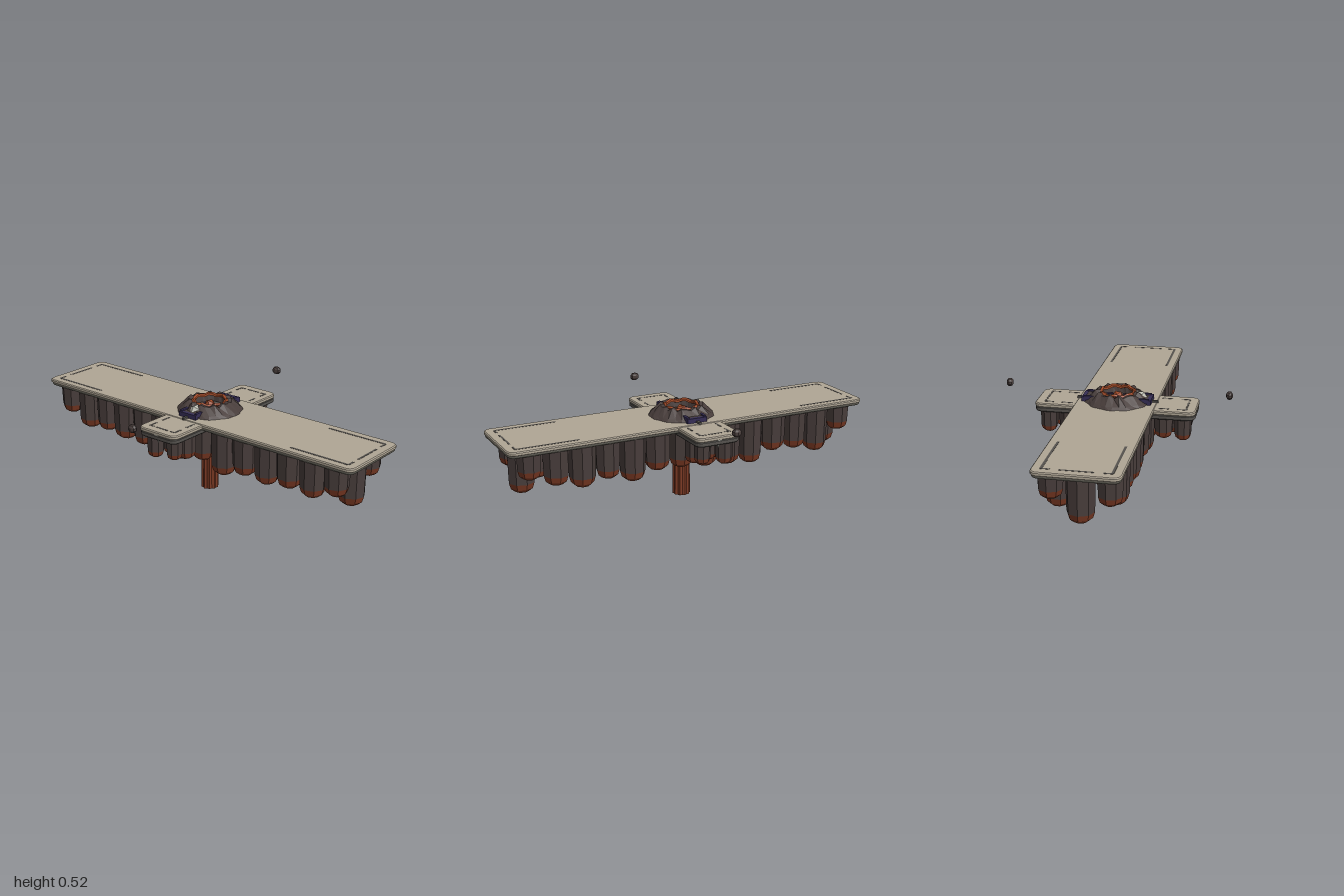
import * as THREE from 'three';

const mat = (name, color, side = THREE.FrontSide) =>
  Object.assign(new THREE.MeshStandardMaterial({ color, side, flatShading: true }), { name });

export function createModel() {
  const root = new THREE.Group();
  root.name = 'floatingPlatform';
  const stone = mat('paleStone', 0xb0a695);
  const edge = mat('edgeStone', 0x8a877a);
  const rock = mat('darkRock', 0x483d3b, THREE.DoubleSide);
  const rust = mat('rustRock', 0x7c3a24);
  const groove = mat('grooveDark', 0x55524e);
  const indigo = mat('indigoMetal', 0x352d54);
  const ember = mat('emberOrange', 0xa04a28);
  const pale = mat('paleCrystal', 0xbcbcb2);

  const add = (name, geo, material, x = 0, y = 0, z = 0, parent = root) => {
    const m = new THREE.Mesh(geo, material);
    m.name = name;
    m.position.set(x, y, z);
    parent.add(m);
    return m;
  };
  const box = (name, w, h, d, material, x, y, z) =>
    add(name, new THREE.BoxGeometry(w, h, d), material, x, y, z);

  // Horizontal rounded slab from y0 to y1 with bevelled rims
  const slab = (name, hx, hz, y0, y1, material) => {
    const b = 0.005, r = 0.038, w = hx - b, d = hz - b, s = new THREE.Shape();
    s.moveTo(-w + r, -d);
    s.lineTo(w - r, -d); s.quadraticCurveTo(w, -d, w, -d + r);
    s.lineTo(w, d - r); s.quadraticCurveTo(w, d, w - r, d);
    s.lineTo(-w + r, d); s.quadraticCurveTo(-w, d, -w, d - r);
    s.lineTo(-w, -d + r); s.quadraticCurveTo(-w, -d, -w + r, -d);
    const g = new THREE.ExtrudeGeometry(s, {
      depth: y1 - y0 - 2 * b, bevelThickness: b, bevelSize: b, bevelSegments: 1, curveSegments: 5,
    });
    g.rotateX(-Math.PI / 2);
    add(name, g, material, 0, y0 + b, 0);
  };

  // Cross-shaped deck: pale top layer over a darker rim layer
  slab('longDeck', 0.207, 1, 0.416, 0.437, stone);
  slab('longDeckRim', 0.203, 0.996, 0.404, 0.418, edge);
  slab('crossDeck', 0.416, 0.122, 0.412, 0.434, stone);
  slab('crossDeckRim', 0.414, 0.12, 0.388, 0.414, groove);

  // Engraved border lines on the deck
  for (const s of [-1, 1]) {
    box('endGroove', 0.16, 0.004, 0.01, groove, 0, 0.436, s * 0.952);
    for (const t of [-1, 1]) {
      box('sideGroove', 0.012, 0.004, 0.32, groove, t * 0.161, 0.436, s * 0.79);
      box('cornerGroove', 0.045, 0.004, 0.01, groove, t * 0.142, 0.436, s * 0.952);
      box('armGroove', 0.055, 0.004, 0.01, groove, s * 0.25, 0.433, t * 0.08);
      box('armGroove', 0.05, 0.004, 0.01, groove, s * 0.345, 0.433, t * 0.08);
      box('armCornerGroove', 0.01, 0.004, 0.03, groove, s * 0.366, 0.433, t * 0.067);
    }
    box('armEndGroove', 0.01, 0.004, 0.075, groove, s * 0.366, 0.433, 0);
  }

  // Hanging rock columns, each with a rust-coloured rounded tip
  let count = 0;
  const column = (x, z, bottom, r) => {
    const g = new THREE.Group();
    g.name = 'rockColumn';
    g.position.set(x, 0, z);
    g.rotation.y = count++ * 0.7;
    root.add(g);
    const cap = bottom + r * 0.75, top = 0.406;
    add('columnBody', new THREE.CylinderGeometry(r, r * 0.95, top - cap, 8), rock, 0, (top + cap) / 2, 0, g);
    const profile = [[0, 0], [0.5, 0.06], [0.82, 0.32], [0.95, 0.75]]
      .map(([a, h]) => new THREE.Vector2(a * r, bottom + h * r));
    add('columnTip', new THREE.LatheGeometry(profile, 8), rust, 0, 0, 0, g);
  };
  const rightRow = [0.22, 0.188, 0.21, 0.175, 0.21, 0.205, 0.19, 0.18, 0.165, 0.212, 0.205, 0.17];
  const leftRow = [0.21, 0.22, 0.2, 0.21, 0.175, 0.22, 0.19, 0.21, 0.2, 0.2, 0.215, 0.2];
  for (let i = 0; i < 12; i++) {
    const z = 0.745 - i * 0.135;
    const r = 0.067 + 0.003 * Math.sin(i * 2.3);
    column(0.134, z, rightRow[i], r);
    column(-0.134, z, leftRow[i], r);
    // Shorter filler rocks between the rows, clear of the stem
    const f = z + 0.067;
    if (Math.abs(f) > 0.1) {
      column(0.068, f, 0.25 + 0.02 * Math.sin(i * 1.9), 0.048);
      column(-0.068, f, 0.25 + 0.02 * Math.cos(i * 2.7), 0.048);
    }
  }
  for (const s of [-1, 1]) {
    column(0, s * 0.877, 0.16, 0.07);
    column(0.137, s * 0.88, 0.27, 0.063);
    column(-0.137, s * 0.88, 0.255, 0.063);
    // Shorter rocks under the cross arms
    column(s * 0.25, 0.055, 0.258, 0.05);
    column(s * 0.25, -0.055, 0.272, 0.05);
    column(s * 0.345, 0.06, 0.282, 0.043);
    column(s * 0.35, -0.06, 0.268, 0.045);
    column(s * 0.3, 0, 0.285, 0.042);
    // Small pointed crystal under each arm tip
    add('armCrystal', new THREE.ConeGeometry(0.024, 0.05, 6).rotateX(Math.PI), pale, s * 0.395, 0.392, 0);
  }
  box('keel', 0.06, 0.1, 1.74, rock, 0, 0.356, 0);

  // Ribbed central stem
  const stem = new THREE.CylinderGeometry(0.042, 0.047, 0.44, 20, 1);
  const sp = stem.attributes.position;
  for (let i = 0; i < sp.count; i++) {
    const a = Math.atan2(sp.getZ(i), sp.getX(i));
    const k = Math.round(a / (Math.PI / 10)) % 2 ? 0.84 : 1;
    sp.setXYZ(i, sp.getX(i) * k, sp.getY(i), sp.getZ(i) * k);
  }
  add('centralStem', stem, rust, 0, 0.22, 0);

  // Jagged crater rim
  const profile = [[0.176, 0.43], [0.155, 0.45], [0.112, 0.487], [0.092, 0.486], [0.082, 0.435]]
    .map(([x, y]) => new THREE.Vector2(x, y));
  const crater = new THREE.LatheGeometry(profile, 28);
  const cp = crater.attributes.position;
  for (let i = 0; i < cp.count; i++) {
    const seg = Math.floor(i / 5) % 28, ring = i % 5;
    const k = 1 + 0.025 * Math.sin(seg * 2.4 + ring * 1.3);
    const lift = ring === 2 || ring === 3 ? 0.009 * Math.sin(seg * 2.6) : 0;
    cp.setXYZ(i, cp.getX(i) * k, cp.getY(i) + lift, cp.getZ(i) * k);
  }
  add('craterRim', crater, rock);
  add('craterFloor', new THREE.CylinderGeometry(0.083, 0.083, 0.006, 22), pale, 0, 0.443, 0);

  // Wavy ember ring and core inside the crater
  const ring = new THREE.TorusGeometry(0.086, 0.01, 5, 24).rotateX(Math.PI / 2);
  const rp = ring.attributes.position;
  for (let i = 0; i < rp.count; i++) {
    const a = Math.atan2(rp.getZ(i), rp.getX(i));
    rp.setY(i, rp.getY(i) + 0.005 * Math.sin(a * 7));
  }
  add('emberRing', ring, ember, 0, 0.484, 0);
  add('emberCore', new THREE.IcosahedronGeometry(0.03, 0), ember, 0, 0.458, 0);

  // Metal bracket through the crater, with a pin at each end
  box('innerBracket', 0.14, 0.012, 0.1, groove, 0, 0.446, 0);
  for (const s of [-1, 1]) {
    box('bracketEnd', 0.02, 0.024, 0.11, indigo, s * 0.17, 0.449, 0);
    box('bracketPlate', 0.04, 0.02, 0.09, rock, s * 0.142, 0.45, 0);
    box('bracketPin', 0.04, 0.012, 0.014, groove, s * 0.192, 0.441, 0);
    box('innerRail', 0.14, 0.01, 0.012, indigo, 0, 0.45, s * 0.048);
    for (const t of [-1, 1]) box('bracketRail', 0.07, 0.022, 0.014, indigo, s * 0.135, 0.456, t * 0.048);
    // Floating pebbles beside the arms
    const pebble = add('floatingPebble', new THREE.SphereGeometry(0.023, 8, 5), rock, s * 0.575, 0.498, 0);
    pebble.scale.set(0.82, 0.95, 1.15);
  }
  const shard = add('paleShard', new THREE.OctahedronGeometry(0.034, 0), pale, -0.127, 0.473, 0.005);
  shard.scale.set(1, 0.5, 0.9);
  shard.rotation.z = 0.5;
  return root;
}
